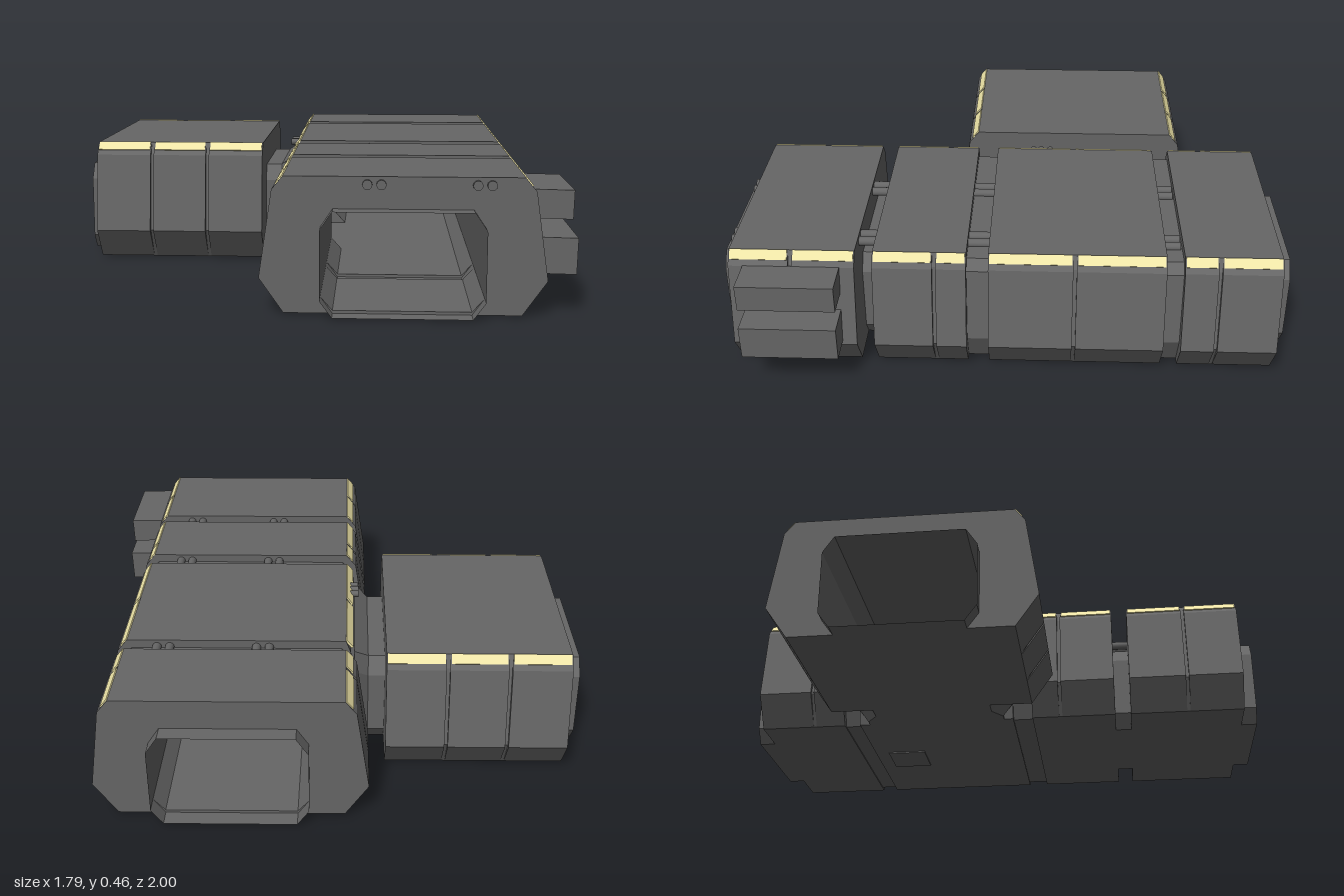
import * as THREE from 'three';

const GREY = new THREE.MeshStandardMaterial({ color: 0x666666 });
const THIN = new THREE.MeshStandardMaterial({ color: 0x666666, side: THREE.DoubleSide });
const CREAM = new THREE.MeshStandardMaterial({ color: 0xf0e6a8 });
const BASE = 0.005, ROOF = 0.455, GROOVE = 0.012;

function add(parent, name, geometry, material = GREY) {
  const mesh = new THREE.Mesh(geometry, material);
  mesh.name = name;
  parent.add(mesh);
  return mesh;
}

function box(parent, name, [w, h, d], [x, y, z], material) {
  const mesh = add(parent, name, new THREE.BoxGeometry(w, h, d), material);
  mesh.position.set(x, y, z);
  return mesh;
}

// Octagonal passage outline, optionally grown outwards
function passage(floor = 0.015, grow = 0) {
  const w = 0.265 + grow, c = 0.225 + grow, t = 0.35 + grow;
  return [[-c, floor], [c, floor], [w, 0.06], [w, t - 0.06], [c, t], [-c, t], [-w, t - 0.06], [-w, 0.06]];
}

const toVectors = (points) => points.map(([x, y]) => new THREE.Vector2(x, y));

// One side of the hull outline from the bottom up; inset pulls the wall inwards
const side = (inset) => [[0.385, BASE], [0.465 - inset, 0.12], [0.422 - Math.min(inset, 0.02), 0.41], [0.385, ROOF]];

// Full hull cross-section with the passage cut through it
function hullShape(insetLeft, insetRight) {
  const left = side(insetLeft).map(([x, y]) => [-x, y]).reverse();
  const shape = new THREE.Shape(toVectors([...side(insetRight), ...left]));
  shape.holes.push(new THREE.Path(toVectors(passage())));
  return shape;
}

// Cross-section open on one side, for the doorway to the side module
function doorShape(insetRight) {
  return new THREE.Shape(toVectors([
    ...side(insetRight), [-0.385, ROOF], [-0.415, 0.41], [-0.415, 0.35],
    [0.225, 0.35], [0.265, 0.29], [0.265, 0.06], [0.225, 0.015], [-0.415, 0.015], [-0.415, BASE],
  ]));
}

// Low cross-section of the recessed joints between hull sections
function jointShape() {
  const half = [[0.36, BASE + 0.005], [0.415, 0.12], [0.4, 0.39], [0.37, 0.425]];
  const shape = new THREE.Shape(toVectors([...half, ...half.map(([x, y]) => [-x, y]).reverse()]));
  shape.holes.push(new THREE.Path(toVectors(passage())));
  return shape;
}

function extrude(parent, name, shape, z0, z1) {
  const geometry = new THREE.ExtrudeGeometry(shape, { depth: z1 - z0, bevelEnabled: false });
  geometry.translate(0, 0, z0);
  return add(parent, name, geometry);
}

// Thin octagonal sleeve between two depths, may flare
function sleeve(parent, name, z0, z1, grow0 = 0, grow1 = 0) {
  const a = passage(BASE, grow0), b = passage(BASE, grow1), pos = [];
  a.forEach((p, i) => {
    const j = (i + 1) % a.length;
    const A = [...p, z0], B = [...a[j], z0], C = [...b[j], z1], D = [...b[i], z1];
    pos.push(...A, ...B, ...C, ...A, ...C, ...D);
  });
  const geometry = new THREE.BufferGeometry();
  geometry.setAttribute('position', new THREE.Float32BufferAttribute(pos, 3));
  geometry.computeVertexNormals();
  return add(parent, name, geometry, THIN);
}

// Hull section: wall panels split by narrow grooves, with light strips along the shoulders
function section(parent, z0, z1, grooves) {
  const cuts = [z0, ...grooves, z1];
  for (let i = 0; i + 1 < cuts.length; i++) {
    const a = cuts[i] + (i > 0 ? GROOVE / 2 : 0);
    const b = cuts[i + 1] - (i + 2 < cuts.length ? GROOVE / 2 : 0);
    extrude(parent, 'hullPanel', hullShape(0, 0), a, b);
    lights(parent, a, b);
    if (i > 0) extrude(parent, 'panelGroove', hullShape(0.015, 0.015), cuts[i] - GROOVE / 2, a);
  }
}

function lights(parent, a, b) {
  for (const s of [-1, 1]) {
    const strip = box(parent, 'lightStrip', [0.036, 0.008, b - a - 0.008], [s * 0.3965, 0.441, (a + b) / 2], CREAM);
    strip.rotation.z = -s * 0.88;
  }
}

function pipe(parent, name, radius, length, [x, y, z], alongX = false) {
  const geometry = new THREE.CylinderGeometry(radius, radius, length, 12);
  if (alongX) geometry.rotateZ(Math.PI / 2);
  else geometry.rotateX(Math.PI / 2);
  add(parent, name, geometry).position.set(x, y, z);
}

export function createModel() {
  const model = new THREE.Group();

  // Main corridor, running front to back
  const main = new THREE.Group();
  main.name = 'mainCorridor';
  main.position.x = 0.325;
  model.add(main);
  section(main, -0.94, -0.61, [-0.73]);
  section(main, 0.13, 0.45, [0.24]);
  section(main, 0.51, 0.94, [0.73]);

  // Middle section with the doorway in its right wall
  extrude(main, 'doorSectionEnd', hullShape(0.05, 0), -0.55, -0.51);
  extrude(main, 'doorSection', doorShape(0), -0.51, -0.246);
  extrude(main, 'panelGroove', doorShape(0.015), -0.246, -0.234);
  extrude(main, 'doorSection', doorShape(0), -0.234, 0.02);
  extrude(main, 'doorSectionEnd', hullShape(0.05, 0), 0.02, 0.055);
  lights(main, -0.55, -0.246);
  lights(main, -0.234, 0.055);

  // Joints, sleeves and roof pipes
  extrude(main, 'joint', jointShape(), -0.61, -0.55);
  extrude(main, 'joint', jointShape(), 0.055, 0.13);
  for (const [a, b] of [[-1, -0.94], [0.45, 0.51], [0.94, 1]]) sleeve(main, 'sleeve', a, b);
  for (const x of [-0.115, -0.07, 0.235, 0.28]) pipe(main, 'roofPipe', 0.016, 1.56, [x, 0.43, 0.175]);
  for (const z of [-0.15, -0.115, -0.085]) pipe(main, 'sidePipe', 0.012, 0.06, [-0.4, 0.432, z], true);
  box(main, 'bellyPlate', [0.16, 0.01, 0.15], [0, 0.005, -0.42]);

  // Equipment boxes on the front left wall
  const upper = box(main, 'upperBox', [0.13, 0.095, 0.33], [0.482, 0.362, 0.725]);
  upper.rotation.z = -0.02;
  const lower = box(main, 'lowerBox', [0.125, 0.12, 0.33], [0.502, 0.193, 0.725]);
  lower.rotation.z = -0.02;

  // Side module, running across and joining the doorway
  const wing = new THREE.Group();
  wing.name = 'sideModule';
  wing.position.z = -0.245;
  wing.rotation.y = Math.PI / 2;
  model.add(wing);
  section(wing, -0.84, -0.2, [-0.627, -0.413]);
  sleeve(wing, 'outerSleeve', -0.9, -0.84);
  sleeve(wing, 'doorSleeve', -0.2, -0.14);
  sleeve(wing, 'doorFlare', -0.14, -0.09, 0, 0.04);

  return model;
}
